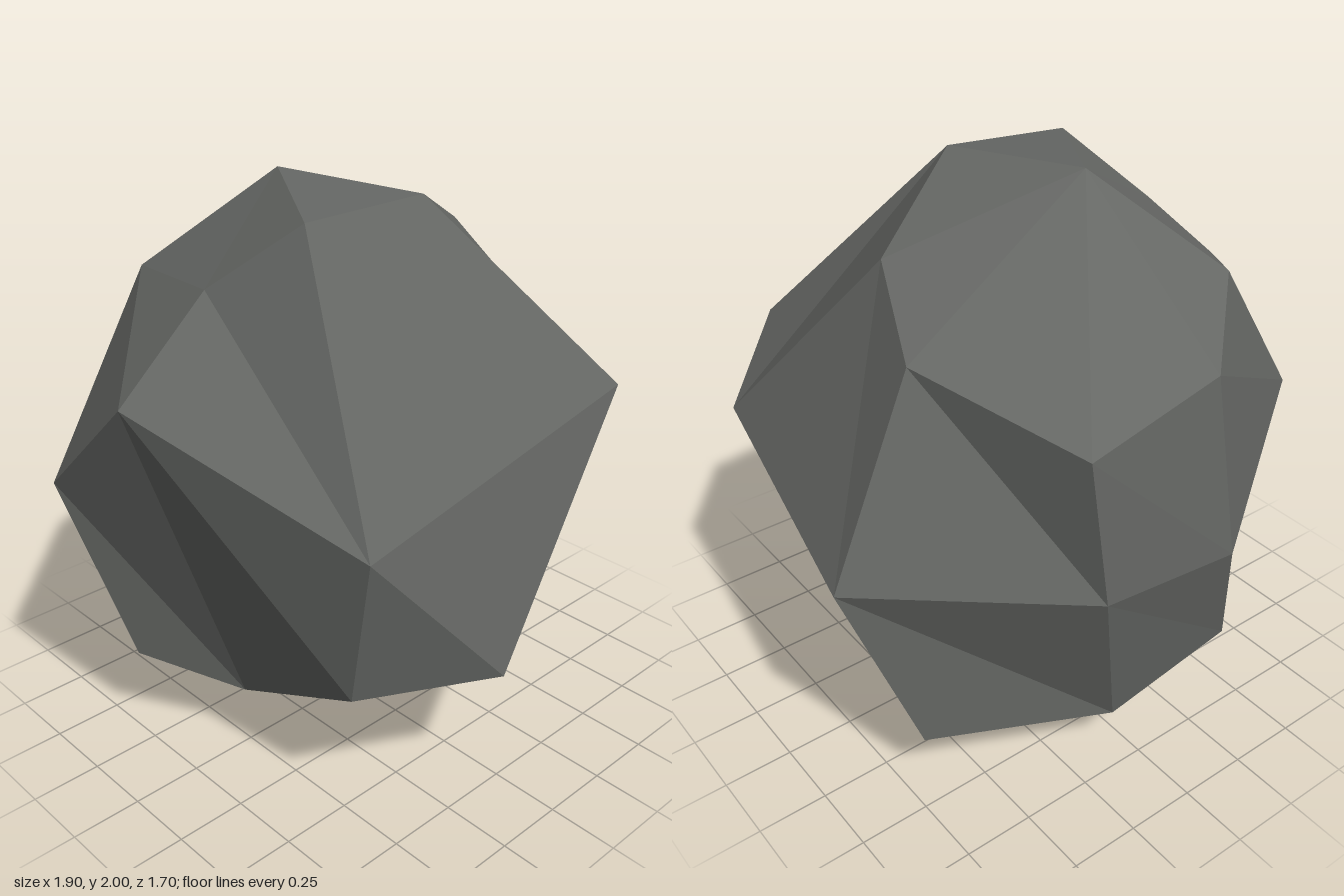
import * as THREE from 'three';

// Corners of the boulder, roughly from the crown down to the base
const CORNERS = {
  A: [-0.12, 2.0, -0.22], B: [0.05, 1.97, 0.28], C: [-0.4, 1.95, 0.23],
  D: [0.48, 1.77, 0.03], S: [-0.59, 1.73, -0.02], T: [-0.47, 1.67, -0.53],
  E: [0.62, 1.59, -0.31], V: [-0.2, 1.49, -0.78], R: [-0.93, 1.43, -0.02],
  U: [0.35, 1.42, -0.83], H: [0.53, 1.33, 0.74], F: [0.81, 1.12, 0.53],
  I: [-0.61, 1.09, 0.73], Q: [-0.95, 1.05, -0.42], G: [0.95, 0.93, -0.36],
  Y: [0.28, 0.88, -0.85], W: [-0.28, 0.81, -0.84], J: [-0.12, 0.53, 0.85],
  N: [-0.57, 0.53, 0.61], P: [-0.77, 0.36, -0.28], K: [0.56, 0.34, 0.34],
  X: [-0.44, 0.29, -0.7], L: [0.71, 0.25, -0.45], O: [-0.54, 0.25, 0.03],
  Z: [0.09, 0.2, -0.7], M: [-0.08, 0, -0.29],
};

// Each fan is a hub corner followed by the corners around it, counter-clockwise
const FANS = [
  'ABDEUVTSCB', // crown
  'HBCIJKFB',   // front
  'GDFKLZYED',  // left side
  'RSTQONIS',   // right side
  'WVUYXPQV',   // back
  'MJNOXZLKJ',  // underside
  'BFD', 'INJ', 'EYU', 'TVQ', 'CSI', 'QPO', 'XOP', 'YZX', // facets between the fans
];

function facetedGeometry() {
  const positions = [];
  for (const [hub, ...rim] of FANS) {
    for (let i = 0; i + 1 < rim.length; i++) {
      positions.push(...CORNERS[hub], ...CORNERS[rim[i]], ...CORNERS[rim[i + 1]]);
    }
  }
  const geometry = new THREE.BufferGeometry();
  geometry.setAttribute('position', new THREE.Float32BufferAttribute(positions, 3));
  geometry.computeVertexNormals(); // unshared corners give flat facets
  return geometry;
}

export function createModel() {
  const stone = new THREE.MeshStandardMaterial({ color: 0x656764 });
  stone.name = 'dark grey stone';

  const boulder = new THREE.Mesh(facetedGeometry(), stone);
  boulder.name = 'boulder';

  const model = new THREE.Group();
  model.name = 'rock';
  model.add(boulder);
  return model;
}
